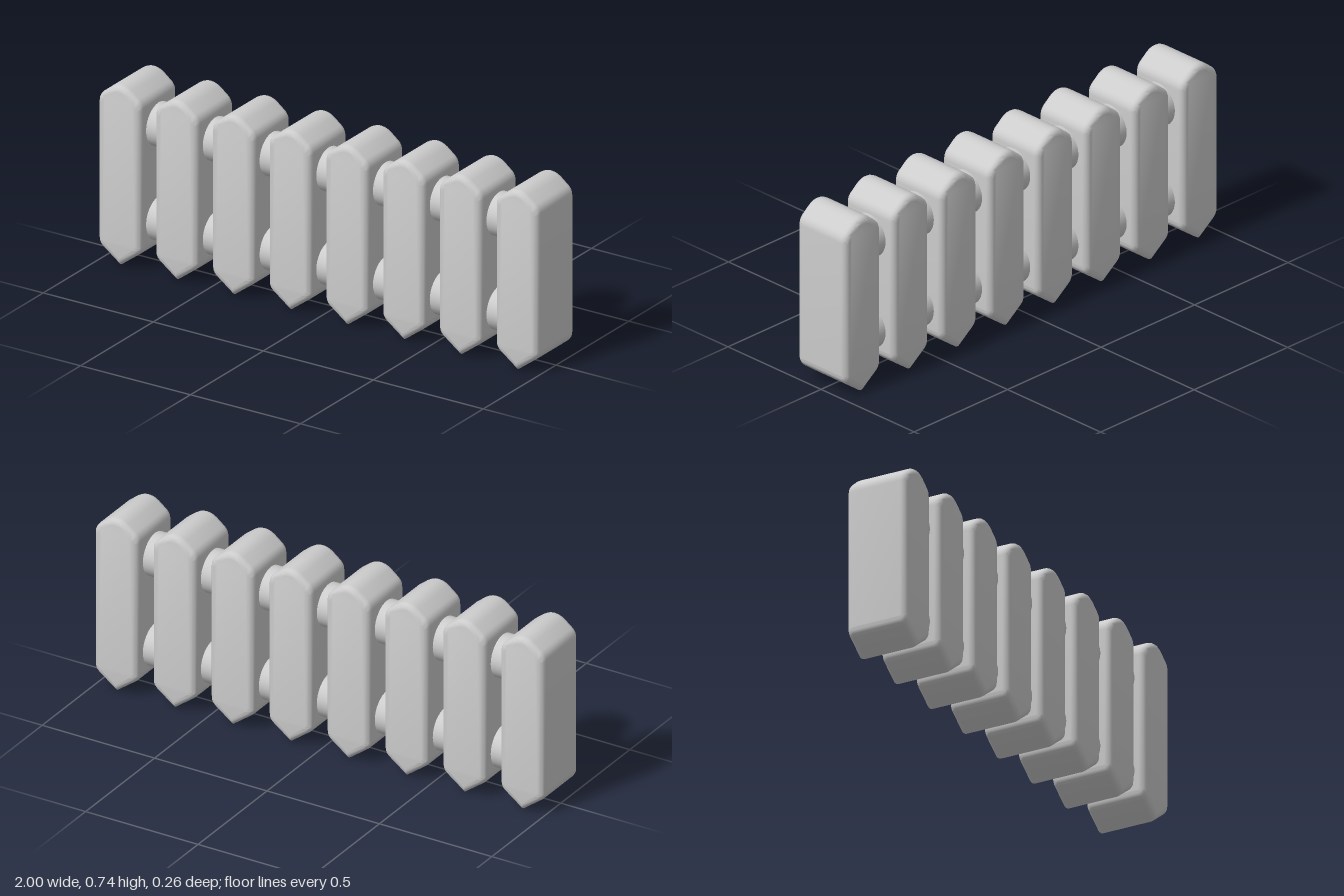
import * as THREE from 'three';
import { toCreasedNormals } from 'three/addons/utils/BufferGeometryUtils.js';

const COUNT = 8;
const BEVEL = 0.025;
const HALF_WIDTH = 0.0975;
const HALF_DEPTH = 0.13;

// Column outline: pointed foot, soft shoulders and a rounded peak
function columnGeometry() {
  const w = HALF_WIDTH - BEVEL;
  const s = new THREE.Shape();
  s.moveTo(0, 0.031);
  s.lineTo(w - 0.009, 0.078);
  s.quadraticCurveTo(w, 0.085, w, 0.097);
  s.lineTo(w, 0.658);
  s.quadraticCurveTo(w, 0.673, w - 0.011, 0.681);
  s.lineTo(0.03, 0.706);
  s.quadraticCurveTo(0, 0.728, -0.03, 0.706);
  s.lineTo(-w + 0.011, 0.681);
  s.quadraticCurveTo(-w, 0.673, -w, 0.658);
  s.lineTo(-w, 0.097);
  s.quadraticCurveTo(-w, 0.085, -w + 0.009, 0.078);
  s.closePath();
  const depth = 2 * (HALF_DEPTH - BEVEL);
  const geo = new THREE.ExtrudeGeometry(s, {
    depth, curveSegments: 6, bevelEnabled: true,
    bevelThickness: BEVEL, bevelSize: BEVEL, bevelSegments: 4,
  });
  geo.translate(0, 0, -depth / 2);
  return toCreasedNormals(geo, 0.7);
}

export function createModel() {
  const model = new THREE.Group();
  model.name = 'radiator';
  const enamel = new THREE.MeshStandardMaterial({ color: 0xcccccc });
  enamel.name = 'light grey enamel';

  // Row of heating columns
  const column = columnGeometry();
  const end = 1 - HALF_WIDTH;
  for (let i = 0; i < COUNT; i++) {
    const mesh = new THREE.Mesh(column, enamel);
    mesh.name = `column${i + 1}`;
    mesh.position.x = -end + (2 * end * i) / (COUNT - 1);
    model.add(mesh);
  }

  // Upper and lower pipes running through the columns
  const pipe = new THREE.CylinderGeometry(0.088, 0.088, 2 * end, 32);
  pipe.rotateZ(Math.PI / 2);
  for (const [name, y] of [['upperPipe', 0.566], ['lowerPipe', 0.178]]) {
    const mesh = new THREE.Mesh(pipe, enamel);
    mesh.name = name;
    mesh.position.y = y;
    model.add(mesh);
  }
  return model;
}
